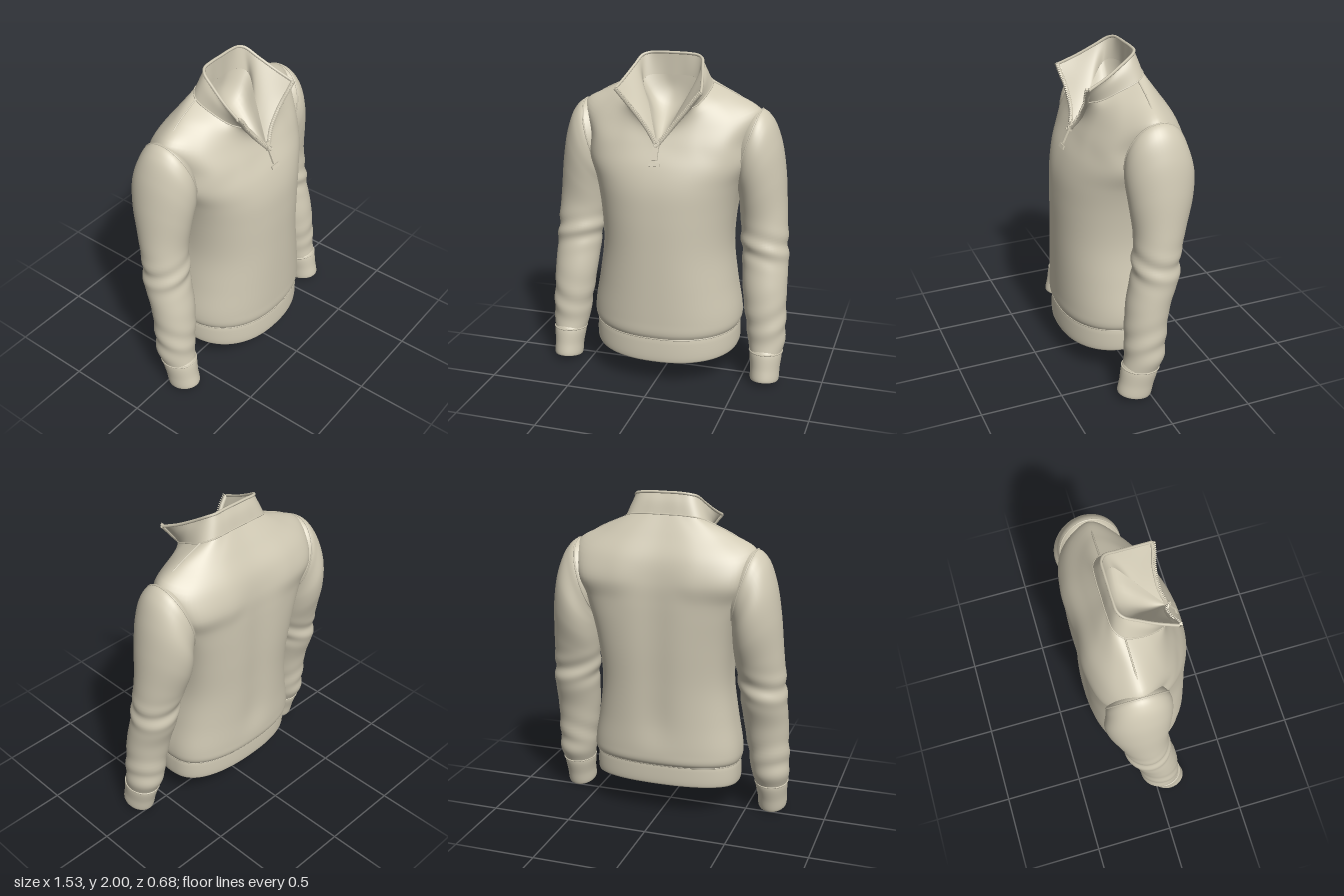
import * as THREE from 'three';
import { mergeVertices } from 'three/addons/utils/BufferGeometryUtils.js';

const V = (x, y, z) => new THREE.Vector3(x, y, z);
const N = 96; // points round a torso ring

// Smooth skin through a stack of rings with equal point counts
function loft(rings, steps, closed = false) {
  const n = rings[0].length, pos = [], idx = [];
  const columns = rings[0].map((_, i) => new THREE.CatmullRomCurve3(rings.map(r => r[i])).getPoints(steps));
  for (let j = 0; j <= steps; j++) for (let i = 0; i < n; i++) pos.push(...columns[i][j].toArray());
  for (let j = 0; j < steps; j++) {
    for (let i = 0; i < (closed ? n : n - 1); i++) {
      const k = (i + 1) % n, a = j * n + i, b = j * n + k, c = a + n, d = b + n;
      idx.push(a, b, d, a, d, c);
    }
  }
  const g = new THREE.BufferGeometry();
  g.setAttribute('position', new THREE.Float32BufferAttribute(pos, 3));
  g.setIndex(idx);
  const welded = mergeVertices(g, 1e-5);
  welded.computeVertexNormals();
  return welded;
}

// Torso ring: half width, front and back depth, with y tilted along z; the back gets flatter higher up
function ring(y, hw, zf, zb, tilt = 0) {
  const out = [], zc = -0.02, flat = 0.74 - 0.3 * THREE.MathUtils.smoothstep(y, 0.5, 1.4);
  for (let i = 0; i <= N; i++) {
    const t = i / N * Math.PI * 2, s = i === 0 || i === N ? 0 : Math.sin(t), c = Math.cos(t);
    const x = hw * Math.sign(s) * Math.abs(s) ** 0.88;
    let z = zc + (c > 0 ? (zf - zc) * c ** 0.95 : (zb - zc) * Math.abs(c) ** flat);
    if (c < 0 && y > 0.6) z += 0.018 * Math.exp(-((x / 0.11) ** 2)); // hollow of the spine
    out.push(V(x, y + tilt * z, z));
  }
  return out;
}

// Open ring from half-curve points, front edge to back centre, mirrored across x
function mirrored(half) {
  const pts = half.map(p => V(...p));
  const other = half.slice(0, -1).reverse().map(p => V(-p[0], p[1], p[2]));
  return new THREE.CatmullRomCurve3([...pts, ...other]).getPoints(N);
}

const chest = [[0, 1.5, .23], [.23, 1.5, .213], [.42, 1.5, .135], [.52, 1.5, -.08], [.485, 1.5, -.265], [.25, 1.5, -.335], [0, 1.5, -.318]];
const yoke = [[.07, 1.59, .195], [.23, 1.605, .165], [.425, 1.63, .08], [.555, 1.672, -.075], [.485, 1.635, -.22], [.25, 1.63, -.298], [0, 1.63, -.29]];
const shoulder = [[.13, 1.665, .19], [.235, 1.69, .133], [.335, 1.735, .04], [.41, 1.763, -.085], [.34, 1.76, -.17], [.2, 1.755, -.222], [0, 1.755, -.222]];
const neckline = [[.175, 1.718, .192], [.215, 1.735, .125], [.25, 1.785, .03], [.25, 1.835, -.09], [.2, 1.86, -.14], [.1, 1.87, -.152], [0, 1.87, -.152]];
const collarMid = [[.222, 1.78, .205], [.232, 1.81, .12], [.237, 1.865, .02], [.215, 1.915, -.08], [.17, 1.935, -.12], [.09, 1.94, -.132], [0, 1.94, -.132]];
const collarTop = [[.257, 1.822, .21], [.235, 1.87, .1], [.21, 1.925, 0], [.185, 1.973, -.08], [.15, 1.985, -.105], [.08, 1.991, -.11], [0, 1.991, -.11]];
const facingEdge = [[0, 1.5, .228], [.055, 1.61, .14], [.11, 1.73, .05], [.17, 1.83, -.045], [.14, 1.855, -.08], [.07, 1.86, -.105], [0, 1.86, -.108]];
// Middle of the facing: its front end lies on the zip edge
const facingMid = collarTop.map((p, i) => i ? p.map((v, k) => (v + facingEdge[i][k]) / 2) : neckline[0]);

// Sleeve sections: inner x, y, outer x, y, centre z, half depth
const sleeveSections = [
  [.34, 1.26, .46, 1.65, -.09, .12], [.42, 1.23, .555, 1.687, -.09, .182],
  [.425, 1.19, .615, 1.64, -.09, .195], [.43, 1.15, .67, 1.51, -.1, .202],
  [.435, 1.08, .706, 1.32, -.1, .187], [.445, .98, .726, 1.1, -.085, .155],
  [.457, .87, .742, .9, -.06, .14], [.466, .78, .75, .77, -.05, .142],
  [.482, .6, .755, .6, -.005, .132], [.515, .37, .759, .38, .02, .125],
  [.53, .27, .762, .27, .025, .122], [.548, .195, .748, .195, .048, .112],
];
function sleeveRing([xi, yi, xo, yo, zc, rz], tilt = 0, count = 48) {
  return Array.from({ length: count }, (_, i) => {
    const a = i / count * Math.PI * 2, k = (1 + Math.cos(a)) / 2, s = Math.sin(a);
    return V(xi + (xo - xi) * k, yi + (yo - yi) * k + tilt * s, zc + rz * s);
  });
}

// Slanting folds at the elbow and above the cuff
function wrinkle(g) {
  const p = g.attributes.position;
  for (let i = 0; i < p.count; i++) {
    const x = p.getX(i), y = p.getY(i), z = p.getZ(i);
    const cx = 0.6 + 0.03 * (0.8 - y), cz = 0.03 - 0.13 * THREE.MathUtils.smoothstep(y, 0.3, 1.1);
    const elbow = Math.exp(-(((y - 0.86) / 0.09) ** 2)) * Math.sin(46 * y + 14 * (x - 0.6) - 9 * z);
    const wrist = Math.exp(-(((y - 0.4) / 0.11) ** 2)) * Math.sin(40 * y - 16 * (x - 0.6) + 12 * z);
    const f = 1 + 0.05 * elbow + 0.035 * wrist;
    p.setXYZ(i, cx + (x - cx) * f, y, cz + (z - cz) * f);
  }
  g.computeVertexNormals();
  return g;
}

export function createModel() {
  const model = new THREE.Group();
  const fabric = new THREE.MeshStandardMaterial({ color: 0xd0c9b4, side: THREE.DoubleSide });
  fabric.name = 'beige knit';
  const add = (name, geometry, parent = model) => {
    const m = new THREE.Mesh(geometry, fabric);
    m.name = name;
    parent.add(m);
    return m;
  };
  const tube = (name, pts, r, parent, closed = false) =>
    add(name, new THREE.TubeGeometry(new THREE.CatmullRomCurve3(pts, closed), pts.length * 2, r, 6, closed), parent);

  // Torso
  add('torso', loft([
    ring(.325, .452, .328, -.285, -.06), ring(.36, .468, .343, -.308, -.05), ring(.43, .468, .345, -.313, -.03),
    ring(.62, .435, .345, -.315), ring(.85, .405, .343, -.322), ring(1.08, .418, .339, -.334),
    ring(1.25, .45, .325, -.339), ring(1.38, .495, .288, -.34),
    ...[chest, yoke, shoulder, neckline].map(mirrored),
  ], 66));

  // Hem band with an inner wall, and the inner panel closing the body above it
  add('hemBand', loft([
    ring(.34, .452, .326, -.282, -.06), ring(.3, .458, .332, -.284, -.07), ring(.2, .457, .334, -.28, -.1),
    ring(.19, .45, .328, -.274, -.1), ring(.2, .442, .32, -.266, -.1), ring(.34, .44, .318, -.27, -.06),
  ].reverse(), 30));
  tube('hemSeam', ring(.332, .455, .331, -.288, -.06).slice(0, -1), .005, model, true);
  add('innerPanel', loft([
    ring(.34, .445, .322, -.274, -.06), ring(.365, .25, .17, -.16, -.03), ring(.375, .001, -.019, -.021),
  ], 12));

  // Collar, its folded facing and the dished neck lining
  add('collar', loft([neckline, collarMid, collarTop].map(mirrored), 14));
  add('collarFacing', loft([collarTop, facingMid, facingEdge].map(mirrored), 14));
  tube('collarEdge', mirrored(collarTop), .009);
  tube('neckSeam', mirrored(neckline), .005);
  const liningCurve = s => new THREE.CatmullRomCurve3(facingEdge.map(([x, y, z], i) =>
    V(x * s, y - .16 * (1 - s * s) * Math.sin(i / 6 * Math.PI), z))).getPoints(24);
  add('neckLining', loft([1, .5, 0, -.5, -1].map(liningCurve), 16));

  // Zip
  const zipCurve = new THREE.CatmullRomCurve3(
    [collarTop, collarMid, neckline, shoulder, yoke, chest].map(l => V(l[0][0], l[0][1], l[0][2] + .004)));
  for (const side of [1, -1]) {
    const half = new THREE.Group();
    half.name = side > 0 ? 'leftSide' : 'rightSide';
    half.scale.x = side;
    model.add(half);

    tube('zipTape', zipCurve.getPoints(24), .013, half);
    for (let i = 0; i < 34; i++) {
      const t = i / 34, tooth = add('zipTooth', new THREE.BoxGeometry(.016, .006, .014), half);
      const d = zipCurve.getTangentAt(t);
      tooth.position.copy(zipCurve.getPointAt(t)).add(V(-.006, .004, .009));
      tooth.rotation.z = Math.atan2(d.y, d.x) + Math.PI / 2;
    }

    // Sleeve and cuff
    add('sleeve', wrinkle(loft(sleeveSections.map(s => sleeveRing(s)), 100, true)), half);
    add('cuff', loft([
      sleeveRing([.56, .225, .738, .225, .048, .1], .01), sleeveRing([.549, .195, .748, .195, .053, .112], .012),
      sleeveRing([.56, .1, .742, .1, .075, .106], .016), sleeveRing([.565, .022, .738, .022, .092, .102], .018),
      sleeveRing([.572, .018, .731, .018, .092, .094], .018), sleeveRing([.58, .03, .724, .03, .09, .086], .016),
      sleeveRing([.575, .19, .728, .19, .055, .09], .012),
    ], 36, true), half);
    tube('cuffSeam', sleeveRing([.548, .2, .75, .2, .05, .113], .01), .005, half, true);
    tube('armholeSeam', sleeveRing(sleeveSections[1]), .005, half, true);
    tube('shoulderSeam', [neckline, shoulder, yoke].map(l => V(l[3][0], l[3][1] + .001, l[3][2])), .005, half);
  }

  // Slider, pull tab and stop plate lying along the chest
  const zipper = new THREE.Group();
  zipper.name = 'zipPull';
  zipper.position.set(0, 1.5, .24);
  zipper.rotation.x = -.44;
  model.add(zipper);
  add('slider', new THREE.BoxGeometry(.034, .05, .024), zipper).position.y = .02;
  const ringMesh = add('pullRing', new THREE.TorusGeometry(.012, .004, 6, 14), zipper);
  ringMesh.position.set(0, .005, .014);
  add('pullTab', new THREE.BoxGeometry(.034, .085, .012), zipper).position.set(0, -.045, .008);
  add('stopPlate', new THREE.BoxGeometry(.066, .022, .009), zipper).position.set(0, -.11, .002);
  return model;
}
